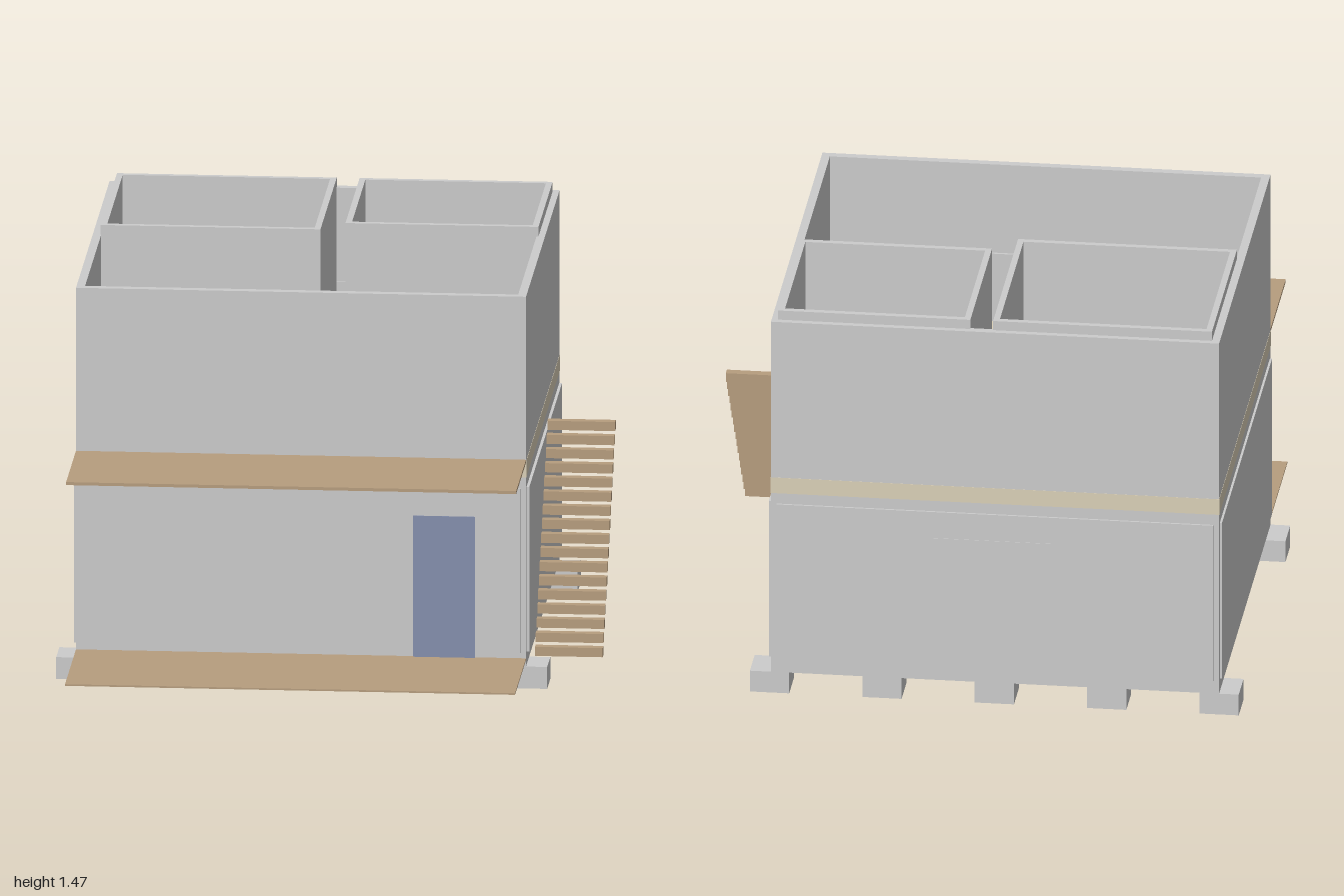
import * as THREE from 'three';

const mat = (color) => new THREE.MeshStandardMaterial({ color, flatShading: true });
const grey = mat(0xcccccc);
const wood = mat(0xb69d7e);
const floorWood = mat(0xdad0b8);
const doorBlue = mat(0x848fad);

// Outer bounds of the house walls
const X0 = -0.9, X1 = 0.695, Z0 = -0.99, Z1 = 0.51;

// Box given by its minimum and maximum on each axis
function box(parent, name, [x0, x1], [y0, y1], [z0, z1], material = grey) {
  const mesh = new THREE.Mesh(new THREE.BoxGeometry(x1 - x0, y1 - y0, z1 - z0), material);
  mesh.position.set((x0 + x1) / 2, (y0 + y1) / 2, (z0 + z1) / 2);
  mesh.name = name;
  parent.add(mesh);
  return mesh;
}

// Rectangular ring of walls, open at top and bottom
function wallRing(parent, name, [x0, x1], [y0, y1], [z0, z1], t) {
  const rect = (P, a, b, c, d) => new P([
    new THREE.Vector2(a, -d), new THREE.Vector2(b, -d),
    new THREE.Vector2(b, -c), new THREE.Vector2(a, -c),
  ]);
  const shape = rect(THREE.Shape, x0, x1, z0, z1);
  shape.holes.push(rect(THREE.Path, x0 + t, x1 - t, z0 + t, z1 - t));
  const geo = new THREE.ExtrudeGeometry(shape, { depth: y1 - y0, bevelEnabled: false });
  geo.rotateX(-Math.PI / 2);
  geo.translate(0, y0, 0);
  const mesh = new THREE.Mesh(geo, grey);
  mesh.name = name;
  parent.add(mesh);
}

export function createModel() {
  const model = new THREE.Group();
  model.name = 'house';

  // Foundation blocks in two rows
  const foundation = new THREE.Group();
  foundation.name = 'foundation';
  model.add(foundation);
  for (let i = 0; i < 5; i++) {
    const x = -0.9 + i * 0.4;
    for (const z of [Z0, Z1 - 0.14]) {
      box(foundation, 'foundationBlock', [x - 0.07, x + 0.07], [0, 0.08], [z, z + 0.14]);
    }
  }

  // Outer walls and the two floors
  wallRing(model, 'outerWalls', [X0, X1], [0.08, 1.43], [Z0, Z1], 0.03);
  const e = 0.001;
  box(model, 'groundFloor', [X0 + 0.005, X1 - 0.005], [0.08 - e, 0.11], [Z0 + 0.005, Z1 - 0.005], floorWood);
  box(model, 'upperFloor', [X0 - e, X1 + e], [0.77, 0.83], [Z0 - e, Z1 + e], floorWood);

  // Thin panels on the lower storey
  const py = [0.13, 0.73];
  box(model, 'leftPanel', [X1, X1 + 0.01], py, [Z0 + 0.02, Z1 - 0.02]);
  box(model, 'rightPanel', [X0 - 0.008, X0], py, [Z0 + 0.02, Z1 - 0.02]);
  box(model, 'backPanel', [X0 + 0.02, X1 - 0.02], py, [Z0 - 0.008, Z0]);
  box(model, 'frontPanel', [X0 + 0.02, X1 - 0.02], py, [Z1, Z1 + 0.007]);

  // Inner panels of the upper storey
  box(model, 'innerFrontPanel', [-0.865, 0.66], [0.83, 1.09], [0.47, 0.48]);
  box(model, 'innerBackPanel', [-0.865, 0.66], [0.83, 1.09], [-0.96, -0.95]);

  // Door and back window
  box(model, 'door', [0.295, 0.515], [0.11, 0.625], [Z1, Z1 + 0.009], doorBlue);
  box(model, 'backWindow', [-0.32, 0.12], [0.28, 0.63], [-1.0, Z0]);

  // Upper rooms, standing slightly above the outer walls
  wallRing(model, 'largeRoom', [-0.872, -0.093], [0.83, 1.465], [-0.968, -0.24], 0.022);
  wallRing(model, 'smallRoom', [-0.012, 0.672], [0.83, 1.465], [-0.968, -0.335], 0.022);

  // Veranda deck and balcony
  box(model, 'verandaDeck', [X0, X1], [0.104, 0.11], [Z1, 1.0], wood);
  box(model, 'balcony', [X0, X1], [0.824, 0.835], [Z1, 0.95], wood);

  // Open stair along the side
  const stairs = new THREE.Group();
  stairs.name = 'stairs';
  model.add(stairs);
  for (let i = 0; i < 17; i++) {
    const y = 0.114 + i * 0.0426;
    const z = 0.473 - i * 0.0346;
    box(stairs, 'step', [0.725, 0.965], [y, y + 0.033], [z - 0.016, z + 0.016], wood);
  }
  return model;
}
